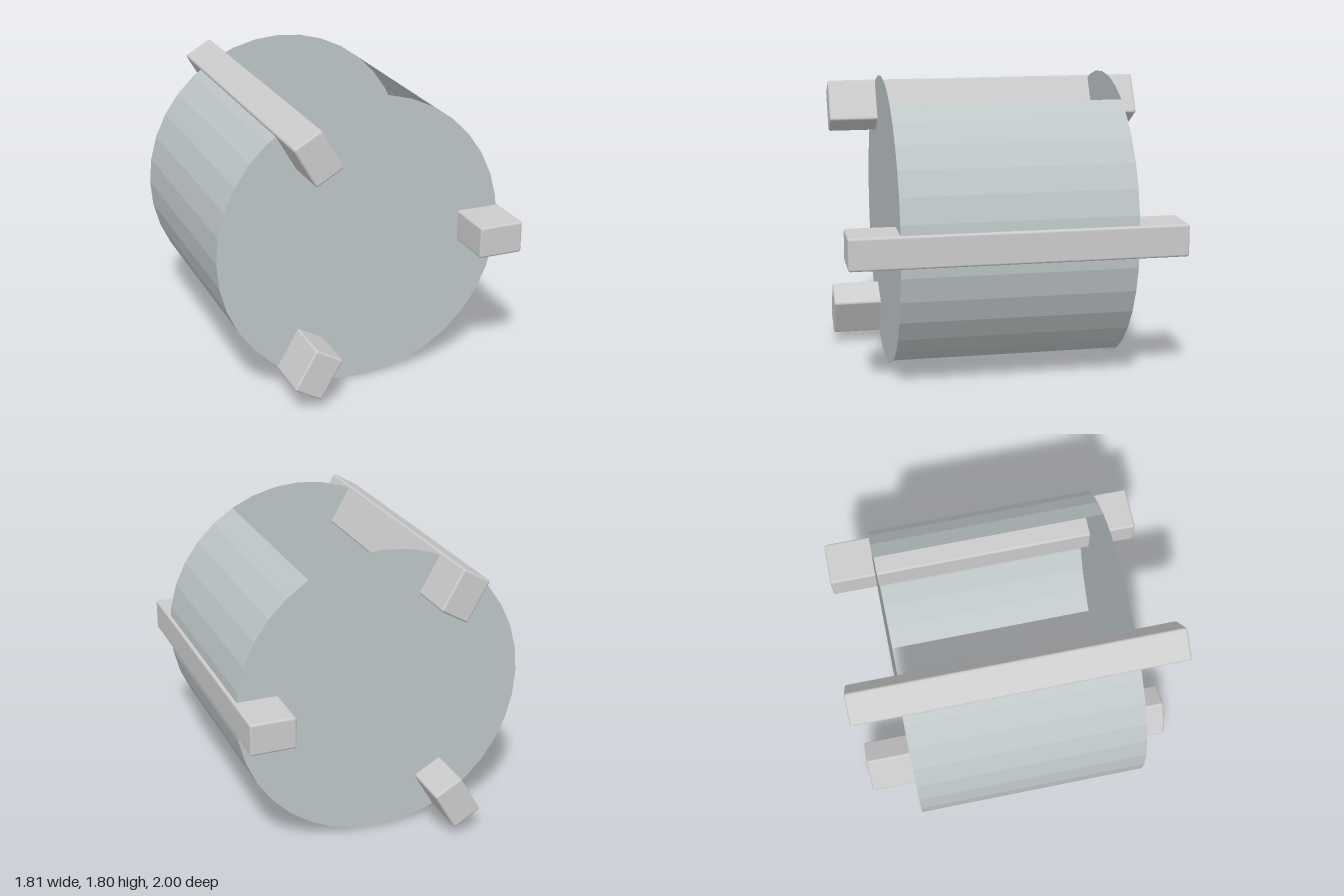
import * as THREE from 'three';
import { RoundedBoxGeometry } from 'three/addons/geometries/RoundedBoxGeometry.js';

const RADIUS = 0.9, LENGTH = 1.4, SIDES = 36;

export function createModel() {
  const model = new THREE.Group();
  model.name = 'slottedDrum';

  const shellMaterial = new THREE.MeshStandardMaterial({
    color: 0xbec6c8, flatShading: true, side: THREE.DoubleSide,
  });
  const barMaterial = new THREE.MeshStandardMaterial({ color: 0xcccccc });

  const drum = new THREE.Group();
  drum.name = 'drum';
  drum.position.set(-0.006, 0.9, 0);
  model.add(drum);

  // Two thin curved side panels, open along the top and bottom
  for (const [name, start] of [['leftPanel', Math.PI / 6], ['rightPanel', Math.PI * 7 / 6]]) {
    const geometry = new THREE.CylinderGeometry(
      RADIUS, RADIUS, LENGTH, SIDES / 3, 1, true, start, Math.PI * 2 / 3);
    geometry.rotateX(Math.PI / 2);
    const panel = new THREE.Mesh(geometry, shellMaterial);
    panel.name = name;
    drum.add(panel);
  }

  // Full thin discs closing the front and back
  for (const [name, side] of [['frontDisc', 1], ['backDisc', -1]]) {
    const disc = new THREE.Mesh(new THREE.CircleGeometry(RADIUS, SIDES), shellMaterial);
    disc.name = name;
    disc.position.z = side * LENGTH / 2;
    if (side < 0) disc.rotation.y = Math.PI;
    drum.add(disc);
  }

  // Three bevelled bars spaced evenly around the rim
  const barGeometry = new RoundedBoxGeometry(0.276, 0.195, 2, 2, 0.015);
  barGeometry.translate(0.774, 0, 0);
  for (let i = 0; i < 3; i++) {
    const bar = new THREE.Mesh(barGeometry, barMaterial);
    bar.name = `bar${i + 1}`;
    bar.rotation.z = i * Math.PI * 2 / 3;
    drum.add(bar);
  }

  return model;
}
